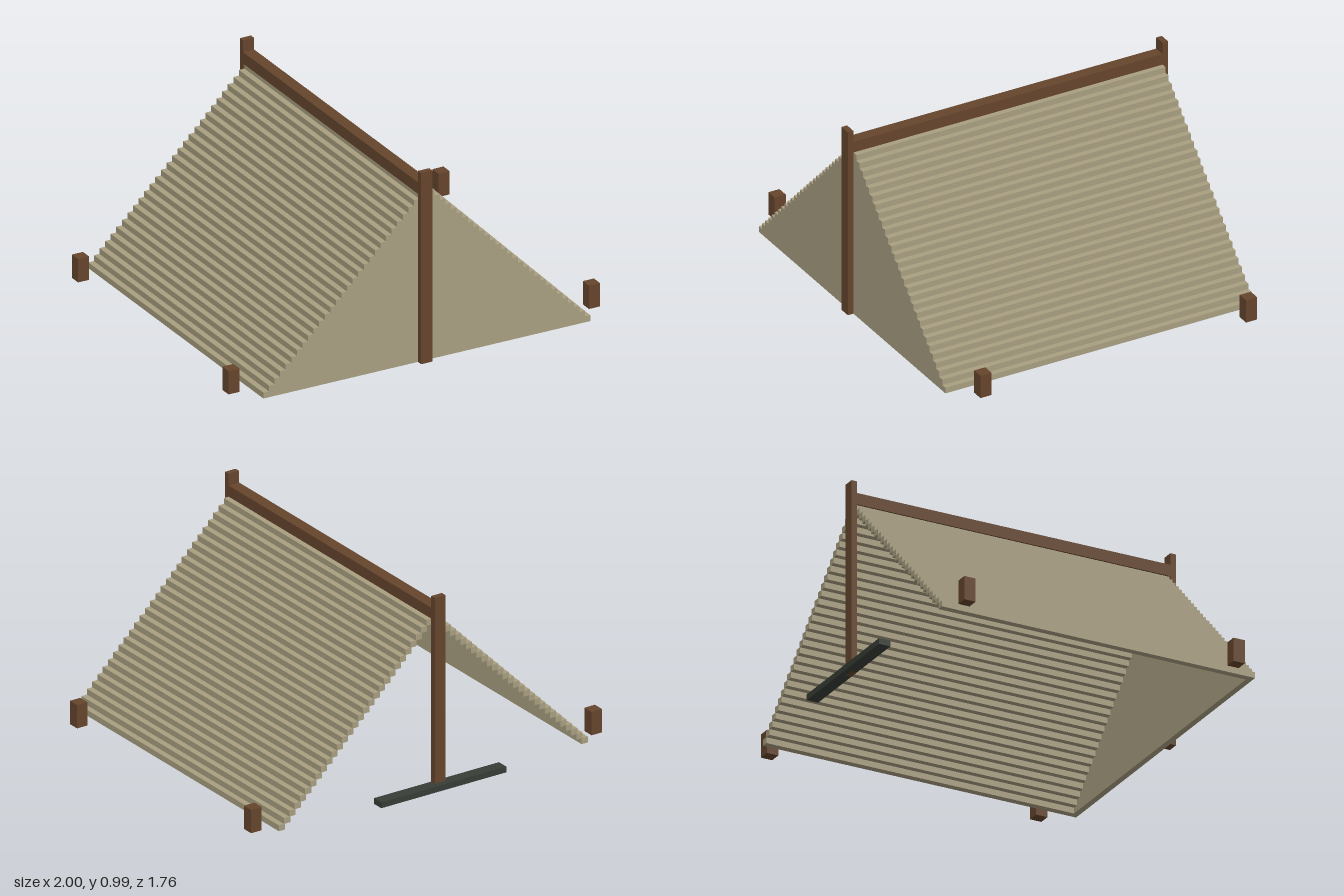
import * as THREE from 'three';

const canvas = new THREE.MeshStandardMaterial({ name: 'canvas tan', color: 0xa99f81 });
const wood = new THREE.MeshStandardMaterial({ name: 'brown wood', color: 0x66452d });
const charcoal = new THREE.MeshStandardMaterial({ name: 'dark charcoal', color: 0x383d36 });

const STEP = 0.03, ROWS = 29, HALF = 0.88;
const BACK = -0.82, FRONT = 0.85, WALL = 0.03;

// Box given by its minimum and maximum corners
function box(name, material, [x0, y0, z0], [x1, y1, z1]) {
  const mesh = new THREE.Mesh(new THREE.BoxGeometry(x1 - x0, y1 - y0, z1 - z0), material);
  mesh.position.set((x0 + x1) / 2, (y0 + y1) / 2, (z0 + z1) / 2);
  mesh.name = name;
  return mesh;
}

export function createModel() {
  const model = new THREE.Group();
  model.name = 'tent';

  // Two stepped roof slopes made of long slats
  for (const side of [-1, 1]) {
    const slope = new THREE.Group();
    slope.name = side > 0 ? 'leftRoofSlope' : 'rightRoofSlope';
    for (let i = 0; i < ROWS; i++) {
      const outer = side * (HALF - i * STEP);
      const inner = outer - side * (STEP + 0.005);
      slope.add(box('roofSlat', canvas,
        [Math.min(outer, inner), i * STEP, BACK],
        [Math.max(outer, inner), (i + 1) * STEP, FRONT - WALL]));
    }
    model.add(slope);
  }

  // Closed front wall with the same stepped outline; the back stays open
  const outline = new THREE.Shape();
  outline.moveTo(-HALF, 0);
  outline.lineTo(HALF, 0);
  for (let i = 0; i < ROWS; i++) {
    const x = HALF - i * STEP;
    if (i > 0) outline.lineTo(x, i * STEP);
    outline.lineTo(x, (i + 1) * STEP);
  }
  for (let i = ROWS - 1; i >= 0; i--) {
    const x = -HALF + i * STEP;
    outline.lineTo(x, (i + 1) * STEP);
    if (i > 0) outline.lineTo(x, i * STEP);
  }
  const wall = new THREE.Mesh(
    new THREE.ExtrudeGeometry(outline, { depth: WALL, bevelEnabled: false }), canvas);
  wall.position.z = FRONT - WALL;
  wall.name = 'frontWall';
  model.add(wall);

  // Ridge beam and end posts
  model.add(box('ridgeBeam', wood, [-0.048, 0.868, BACK], [0.012, 0.927, FRONT]));
  model.add(box('frontPost', wood, [-0.048, 0, FRONT], [0.012, 0.987, FRONT + 0.03]));
  model.add(box('backPost', wood, [-0.048, 0, BACK - 0.03], [0.012, 0.987, BACK]));

  // Dark sill behind the open end
  model.add(box('backSill', charcoal, [-0.374, 0, -0.88], [0.338, 0.03, BACK]));

  // Four ground stakes
  for (const x of [-0.97, 0.97]) {
    for (const z of [-0.735, 0.7]) {
      model.add(box('stake', wood, [x - 0.03, 0, z - 0.03], [x + 0.03, 0.12, z + 0.03]));
    }
  }
  return model;
}
